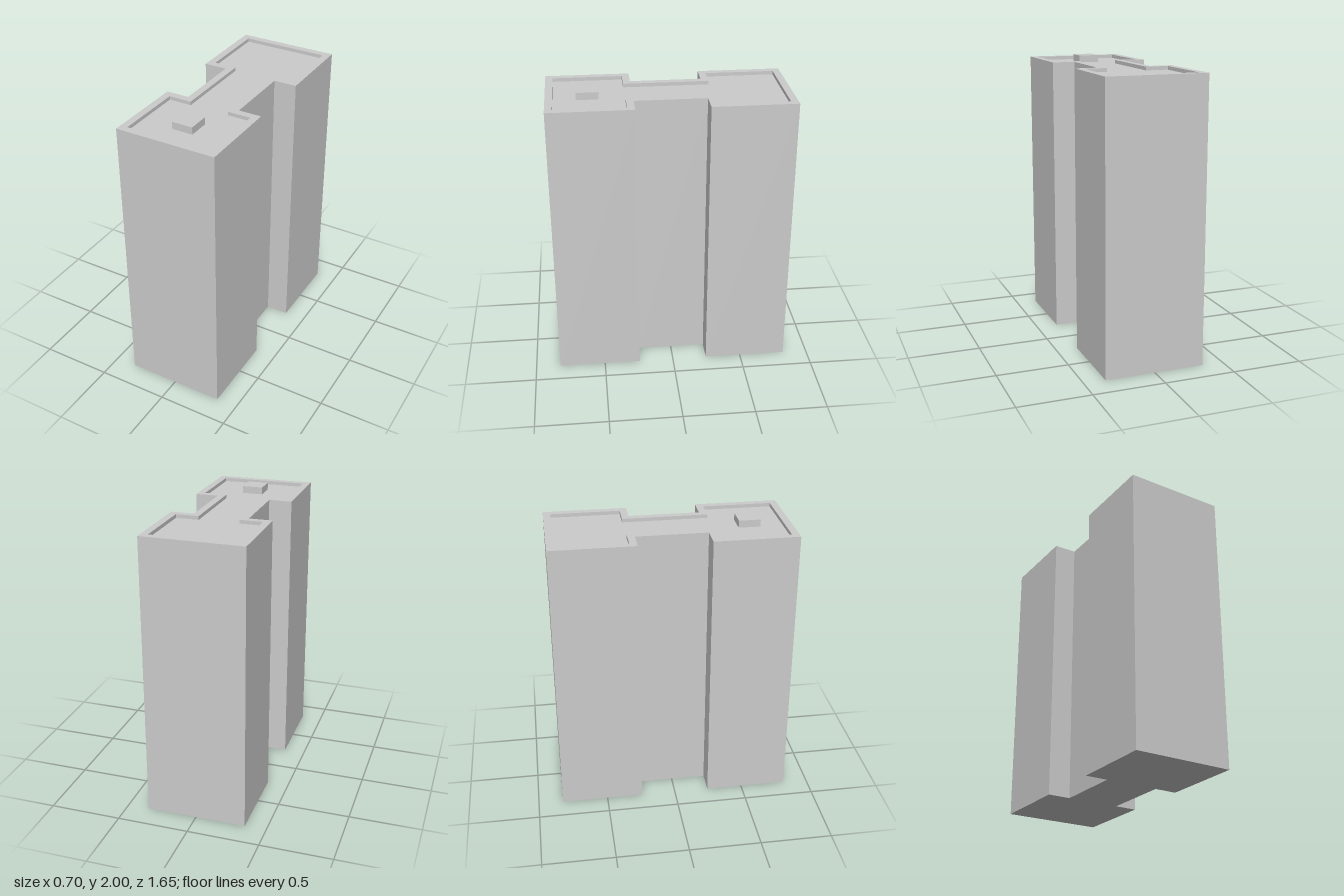
import * as THREE from 'three';

const HEIGHT = 1.975, ROOF = 1.95, RIM = 0.05;

// H-shaped plan: two square towers joined by a narrower neck (counter-clockwise)
function plan(inset) {
  const x = 0.35 - inset, z = 0.825 - inset;
  const neckX = 0.19 - inset, neckZ = 0.245 + inset;
  const half = [[neckX, neckZ], [x, neckZ], [x, z], [-x, z], [-x, neckZ], [-neckX, neckZ]];
  return [...half, ...half.map(([px, pz]) => [-px, -pz])].map(([px, pz]) => new THREE.Vector2(px, pz));
}

// Joins successive outlines, given as { points, y }, with flat quads
function bands(loops) {
  const positions = [];
  const push = ({ points, y }, i) => {
    const p = points[i % points.length];
    positions.push(p.x, y, -p.y);
  };
  for (let k = 0; k < loops.length - 1; k++) {
    const a = loops[k], b = loops[k + 1];
    for (let i = 0; i < a.points.length; i++) {
      push(a, i); push(a, i + 1); push(b, i + 1);
      push(a, i); push(b, i + 1); push(b, i);
    }
  }
  const geometry = new THREE.BufferGeometry();
  geometry.setAttribute('position', new THREE.Float32BufferAttribute(positions, 3));
  geometry.computeVertexNormals();
  return geometry;
}

export function createModel() {
  const group = new THREE.Group();
  group.name = 'towerBlock';
  const material = new THREE.MeshStandardMaterial({ color: 0xcccccc, flatShading: true });
  const add = (name, geometry) => {
    const mesh = new THREE.Mesh(geometry, material);
    mesh.name = name;
    group.add(mesh);
    return mesh;
  };

  const outer = plan(0), inner = plan(RIM);

  // Outer walls, parapet rim and the parapet's inner face
  add('wallsAndParapet', bands([
    { points: outer, y: 0 },
    { points: outer, y: HEIGHT },
    { points: inner, y: HEIGHT },
    { points: inner, y: ROOF },
  ]));

  // Sunken flat roof and underside
  add('roof', new THREE.ShapeGeometry(new THREE.Shape(inner)).rotateX(-Math.PI / 2)).position.y = ROOF;
  add('base', new THREE.ShapeGeometry(new THREE.Shape(outer)).rotateX(Math.PI / 2));

  // Small box on the front tower's roof
  const hutHeight = 2 - ROOF;
  add('roofHut', new THREE.BoxGeometry(0.146, hutHeight, 0.15))
    .position.set(0, ROOF + hutHeight / 2, 0.545);

  return group;
}
